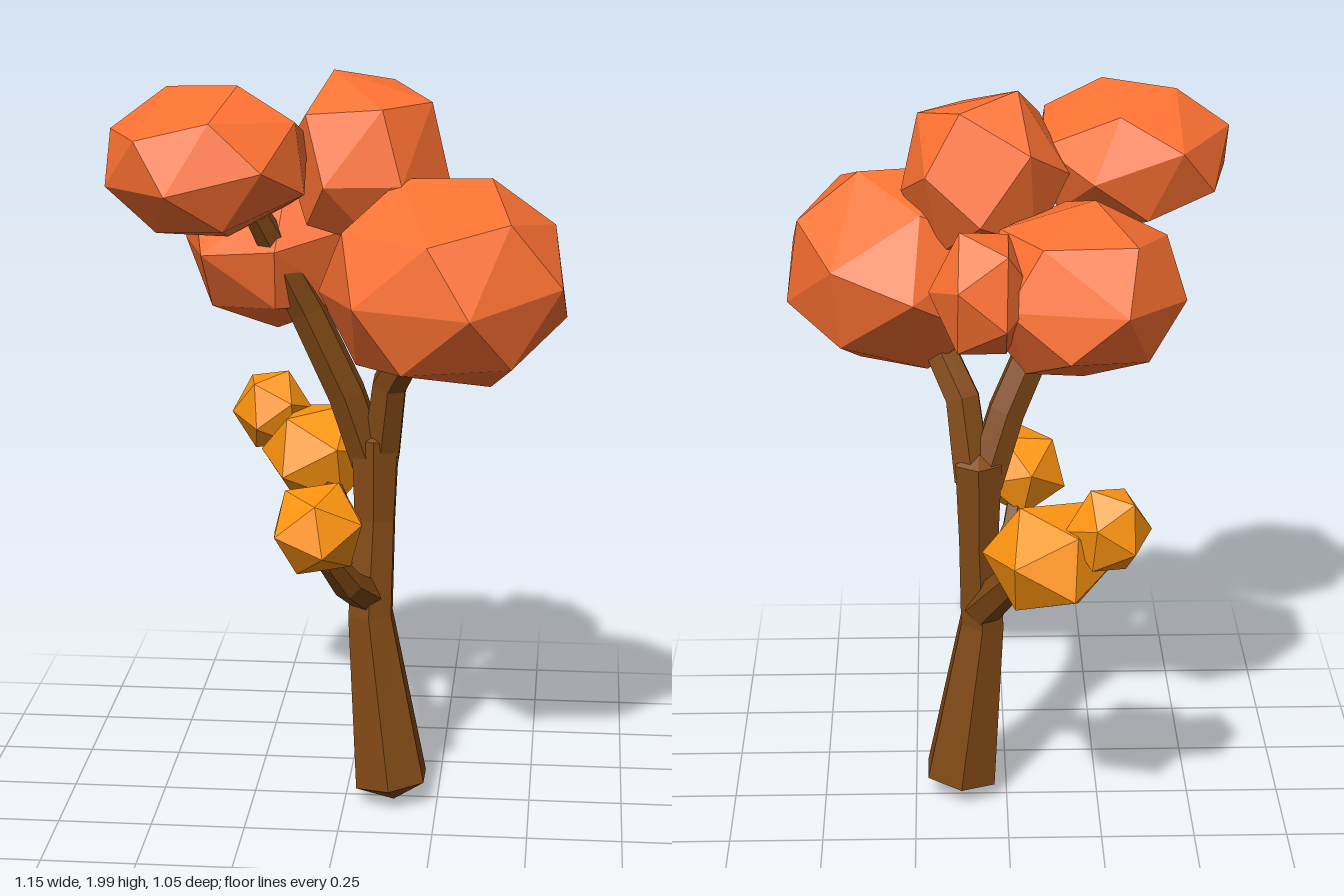
import * as THREE from 'three';
import { ConvexGeometry } from 'three/addons/geometries/ConvexGeometry.js';

const mat = (color) => new THREE.MeshStandardMaterial({ color, flatShading: true });

// Faceted ball: hull of points spread evenly on a sphere
function facetedBall(count) {
  const pts = [];
  for (let i = 0; i < count; i++) {
    const y = 1 - (2 * i + 1) / count, r = Math.sqrt(1 - y * y), a = i * 2.39996;
    pts.push(new THREE.Vector3(r * Math.cos(a), y, r * Math.sin(a)));
  }
  return new ConvexGeometry(pts);
}

// Foliage clump: a ball turned, then fitted to a box
function clump(name, material, geo, turn, centre, half) {
  geo.rotateX(turn).rotateY(turn * 1.7).rotateZ(turn * 0.6).center();
  geo.computeBoundingBox();
  const b = geo.boundingBox.max;
  geo.scale(half[0] / b.x, half[1] / b.y, half[2] / b.z);
  geo.computeVertexNormals();
  const mesh = new THREE.Mesh(geo, material);
  mesh.name = name;
  mesh.position.set(...centre);
  return mesh;
}

// Tapered limb: hexagonal rings [x, y, z, radius] closed by a point at both ends
function limb(name, material, rings, sides = 6) {
  const c = rings.map((r) => new THREE.Vector3(r[0], r[1], r[2]));
  const n = c.length, pos = [], idx = [];
  for (let i = 0; i < n; i++) {
    const dir = c[Math.min(i + 1, n - 1)].clone().sub(c[Math.max(i - 1, 0)]).normalize();
    const q = new THREE.Quaternion().setFromUnitVectors(new THREE.Vector3(0, 1, 0), dir);
    for (let k = 0; k < sides; k++) {
      const a = ((k + 0.5) / sides) * Math.PI * 2;
      const v = new THREE.Vector3(Math.cos(a), 0, Math.sin(a))
        .multiplyScalar(rings[i][3]).applyQuaternion(q).add(c[i]);
      pos.push(v.x, v.y, v.z);
    }
  }
  for (let i = 0; i < n - 1; i++) {
    for (let k = 0; k < sides; k++) {
      const a = i * sides + k, b = i * sides + ((k + 1) % sides);
      idx.push(a, a + sides, b, b, a + sides, b + sides);
    }
  }
  // End points
  const d0 = c[0].clone().sub(c[1]).normalize().multiplyScalar(rings[0][3] * 0.55).add(c[0]);
  const d1 = c[n - 1].clone().sub(c[n - 2]).normalize().multiplyScalar(rings[n - 1][3] * 0.55).add(c[n - 1]);
  pos.push(d0.x, d0.y, d0.z, d1.x, d1.y, d1.z);
  const s = n * sides, e = s + 1, last = (n - 1) * sides;
  for (let k = 0; k < sides; k++) {
    const k2 = (k + 1) % sides;
    idx.push(s, k, k2, e, last + k2, last + k);
  }
  const geo = new THREE.BufferGeometry();
  geo.setAttribute('position', new THREE.Float32BufferAttribute(pos, 3));
  geo.setIndex(idx);
  const flat = geo.toNonIndexed();
  flat.computeVertexNormals();
  const mesh = new THREE.Mesh(flat, material);
  mesh.name = name;
  return mesh;
}

export function createModel() {
  const tree = new THREE.Group();
  tree.name = 'tree';
  const bark = mat(0x824a16), red = mat(0xff7232), amber = mat(0xff9510);

  // Trunk and branches
  const limbs = [
    ['trunk', [[0.125, 0.07, 0.02, 0.106], [0.066, 0.54, 0.003, 0.066],
      [0.075, 0.8, -0.025, 0.06], [0.075, 1.02, -0.035, 0.07]]],
    ['leftCrownBranch', [[0.09, 0.97, -0.035, 0.055], [0.115, 1.18, 0.01, 0.05],
      [0.18, 1.31, 0.08, 0.046], [0.24, 1.45, 0.13, 0.036]]],
    ['rightCrownBranch', [[0.06, 0.96, -0.035, 0.055], [0.0, 1.15, -0.005, 0.053],
      [-0.1, 1.38, 0.03, 0.05], [-0.18, 1.56, 0.08, 0.04], [-0.24, 1.7, 0.15, 0.03]]],
    ['frontBranch', [[0.055, 0.6, 0.02, 0.05], [0.015, 0.66, 0.12, 0.042],
      [-0.025, 0.74, 0.18, 0.034], [-0.045, 0.86, 0.245, 0.028]]],
    ['backBranch', [[0.065, 0.59, -0.02, 0.055], [-0.005, 0.71, -0.13, 0.045],
      [-0.09, 0.86, -0.28, 0.036]]],
  ];
  for (const [name, rings] of limbs) tree.add(limb(name, bark, rings));

  // Crown
  const crown = new THREE.Group();
  crown.name = 'crown';
  crown.add(
    clump('crownRight', red, facetedBall(20), 0.5, [-0.33, 1.79, 0.195], [0.25, 0.195, 0.255]),
    clump('crownTop', red, facetedBall(16), 1.1, [0.055, 1.785, 0.04], [0.215, 0.215, 0.19]),
    clump('crownLeft', red, facetedBall(22), 0.8, [0.26, 1.492, 0.2], [0.315, 0.264, 0.323]),
    clump('crownBack', red, facetedBall(20), 1.9, [-0.18, 1.525, -0.135], [0.268, 0.235, 0.272]),
    clump('crownBackSmall', red, new THREE.IcosahedronGeometry(1), 0.3,
      [0.065, 1.56, -0.275], [0.135, 0.16, 0.135]),
  );
  tree.add(crown);

  // Lower tufts
  const tufts = new THREE.Group();
  tufts.name = 'lowerTufts';
  tufts.add(
    clump('frontTuft', amber, new THREE.IcosahedronGeometry(1), 0.7,
      [-0.047, 0.866, 0.288], [0.118, 0.11, 0.148]),
    clump('backTuft', amber, new THREE.IcosahedronGeometry(1), 0.25,
      [-0.1, 0.885, -0.352], [0.17, 0.135, 0.172]),
    clump('backTuftSmall', amber, new THREE.IcosahedronGeometry(1), 0.4,
      [-0.245, 0.985, -0.42], [0.11, 0.11, 0.095]),
  );
  tree.add(tufts);
  return tree;
}
